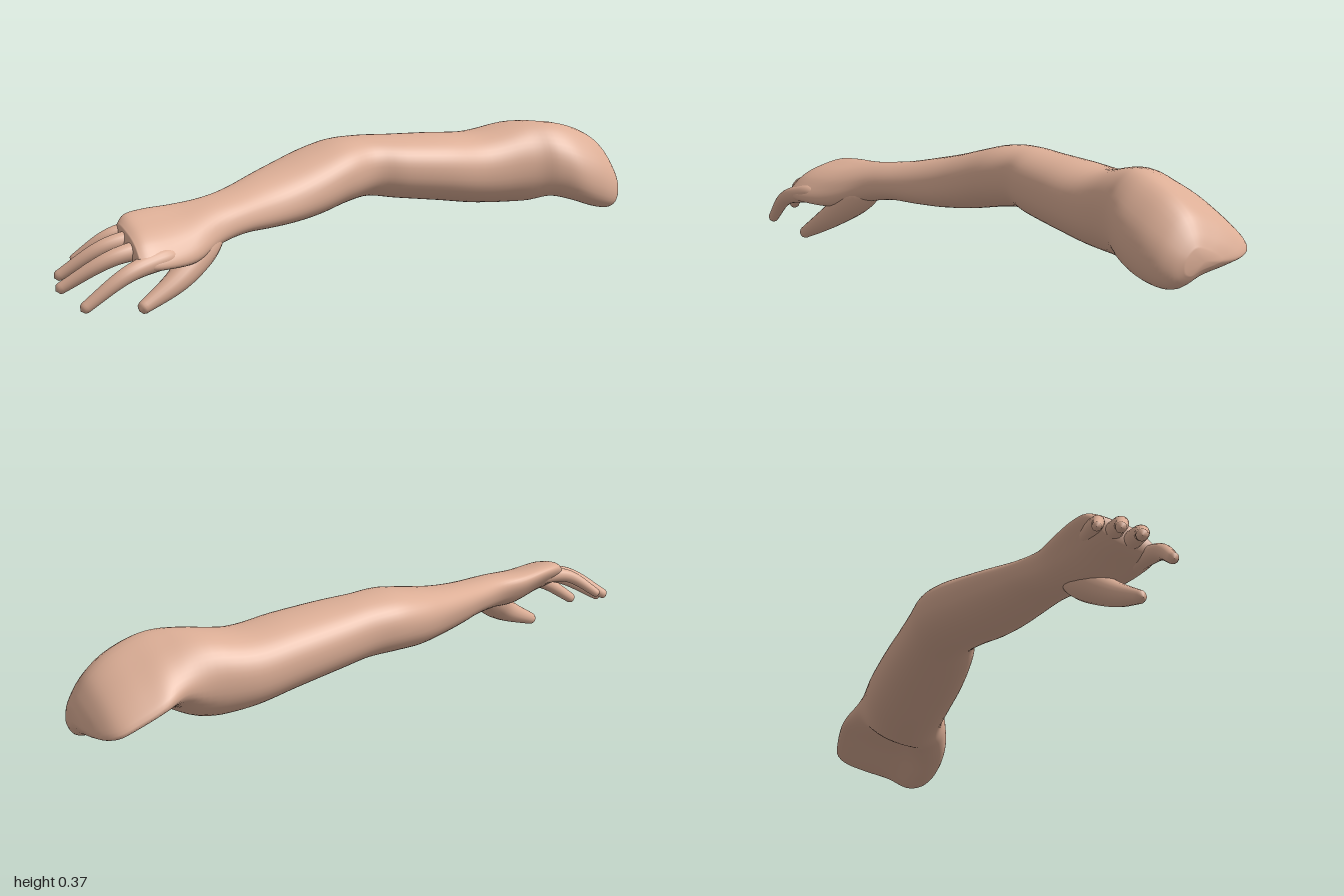
import * as THREE from 'three';
import { mergeVertices } from 'three/addons/utils/BufferGeometryUtils.js';

const { lerp, smoothstep, degToRad } = THREE.MathUtils;
const SIDES = 48;

// rounded wedge outline of the shoulder, as (z, y) inside a -1..1 box
const shoulderOutline = new THREE.CatmullRomCurve3([
  [1, -0.37], [0.83, 0.39], [0.33, 1], [-0.25, 0.74], [-0.75, 0.3],
  [-1, -0.14], [-0.62, -0.38], [0.11, -0.68], [0.62, -1.02], [0.9, -0.88],
].map(([z, y]) => new THREE.Vector3(0, y, z)), true);

// sections from shoulder to knuckles: x, back z, front z, bottom y, top y
const sections = [
  [0.993, -0.12, 0, 0.12, 0.19],
  [0.975, -0.2, 0.035, 0.093, 0.228],
  [0.94, -0.255, 0.065, 0.079, 0.278],
  [0.88, -0.27, 0.085, 0.092, 0.322],
  [0.8, -0.27, 0.088, 0.12, 0.355],
  [0.73, -0.245, 0.068, 0.132, 0.37],
  [0.65, -0.238, 0.037, 0.112, 0.371],
  [0.5, -0.25, 0.027, 0.12, 0.347],
  [0.35, -0.243, 0.03, 0.146, 0.357],
  [0.2, -0.23, 0.018, 0.17, 0.366],
  [0.1, -0.222, 0, 0.186, 0.372],
  [0, -0.22, 0.028, 0.18, 0.37],
  [-0.1, -0.198, 0.055, 0.166, 0.35],
  [-0.2, -0.155, 0.077, 0.16, 0.326],
  [-0.3, -0.105, 0.1, 0.161, 0.305],
  [-0.4, -0.05, 0.13, 0.165, 0.286],
  [-0.5, -0.003, 0.165, 0.152, 0.275],
  [-0.6, 0.012, 0.222, 0.128, 0.267],
  [-0.7, 0.035, 0.258, 0.132, 0.267],
  [-0.76, 0.055, 0.266, 0.137, 0.262],
  [-0.79, 0.08, 0.255, 0.15, 0.24],
];

// smooth interpolation of one section value
function sectionValue(k, s) {
  const i = Math.min(Math.floor(s), sections.length - 2), f = s - i;
  const at = n => sections[Math.max(0, Math.min(sections.length - 1, n))][k];
  const a = at(i - 1), b = at(i), c = at(i + 1), d = at(i + 2);
  return b + 0.5 * f * (c - a + f * (2 * a - 5 * b + 4 * c - d + f * (3 * (b - c) + d - a)));
}

// slightly boxy roundness
const soften = v => Math.sign(v) * Math.pow(Math.abs(v), 0.9);

function armGeometry() {
  const positions = [], index = [];
  const steps = (sections.length - 1) * 5;
  for (let i = 0; i <= steps; i++) {
    const [x, z0, z1, y0, y1] = sections[0].map((_, k) => sectionValue(k, i / 5));
    // wedge at the shoulder, round along the arm, tilted and flat at the palm
    const wedge = smoothstep(x, 0.59, 0.85);
    const tilt = degToRad(-20 * smoothstep(-x, -0.15, 0.3) - 28 * smoothstep(-x, 0.42, 0.72));
    for (let j = 0; j < SIDES; j++) {
      const t = j / SIDES * Math.PI * 2;
      const p = shoulderOutline.getPoint(j / SIDES);
      const u = lerp(soften(Math.cos(t)), p.z, wedge);
      const v = lerp(soften(Math.sin(t + tilt)), p.y, wedge);
      positions.push(x, (y0 + y1) / 2 + v * (y1 - y0) / 2, (z0 + z1) / 2 + u * (z1 - z0) / 2);
      if (i < steps) {
        const a = i * SIDES + j, b = i * SIDES + (j + 1) % SIDES;
        index.push(a, b, a + SIDES, b, b + SIDES, a + SIDES);
      }
    }
  }
  // close both ends with a shallow fan
  const centre = (r, x) => positions.push(x, (r[3] + r[4]) / 2, (r[1] + r[2]) / 2);
  const n = (steps + 1) * SIDES;
  centre(sections[0], 1);
  centre(sections[sections.length - 1], -0.8);
  for (let j = 0; j < SIDES; j++) {
    const k = (j + 1) % SIDES;
    index.push(n, k, j, n + 1, steps * SIDES + j, steps * SIDES + k);
  }
  const g = new THREE.BufferGeometry();
  g.setAttribute('position', new THREE.Float32BufferAttribute(positions, 3));
  g.setIndex(index);
  g.computeVertexNormals();
  return g;
}

// tapering finger along a smooth path: long rounded root, short rounded tip
function fingerGeometry(rootRadius, tipRadius, points) {
  const curve = new THREE.CatmullRomCurve3(points.map(p => new THREE.Vector3(...p)));
  const steps = 48, sides = 18, length = curve.getLength();
  const dome = d => Math.sqrt(Math.max(0, 1 - Math.max(0, 1 - d) ** 2));
  let g = new THREE.TubeGeometry(curve, steps, 1, sides);
  const pos = g.attributes.position, v = new THREE.Vector3();
  for (let i = 0; i <= steps; i++) {
    const u = i / steps, c = curve.getPointAt(u);
    const ends = dome((1 - u) * length / tipRadius) * dome(u * length / (rootRadius * 2.2));
    const r = lerp(rootRadius, tipRadius, u) * Math.max(ends, 0.01);
    for (let j = 0; j <= sides; j++) {
      const k = i * (sides + 1) + j;
      v.fromBufferAttribute(pos, k).sub(c).multiplyScalar(r).add(c);
      pos.setXYZ(k, v.x, v.y, v.z);
    }
  }
  g.deleteAttribute('uv');
  g.deleteAttribute('normal');
  g = mergeVertices(g, 1e-5);
  g.computeVertexNormals();
  return g;
}

export function createModel() {
  const group = new THREE.Group();
  group.name = 'arm';
  const skin = new THREE.MeshStandardMaterial({ color: 0xdcae96 });
  skin.name = 'skin';
  const add = (name, geometry) => {
    const mesh = new THREE.Mesh(geometry, skin);
    mesh.name = name;
    group.add(mesh);
  };
  add('shoulderArmAndPalm', armGeometry());
  // root radius, tip radius, path from palm to tip
  add('indexFinger', fingerGeometry(0.033, 0.016, [[-0.66, 0.168, 0.215], [-0.82, 0.138, 0.25], [-0.96, 0.046, 0.238]]));
  add('middleFinger', fingerGeometry(0.033, 0.016, [[-0.66, 0.19, 0.175], [-0.84, 0.172, 0.187], [-0.995, 0.083, 0.137]]));
  add('ringFinger', fingerGeometry(0.032, 0.015, [[-0.66, 0.208, 0.13], [-0.84, 0.193, 0.132], [-0.98, 0.105, 0.085]]));
  add('littleFinger', fingerGeometry(0.029, 0.013, [[-0.66, 0.227, 0.085], [-0.81, 0.208, 0.079], [-0.915, 0.135, 0.04]]));
  add('thumb', fingerGeometry(0.066, 0.017, [[-0.48, 0.215, 0.09], [-0.635, 0.092, 0.183], [-0.78, 0.016, 0.217]]));
  return group;
}
